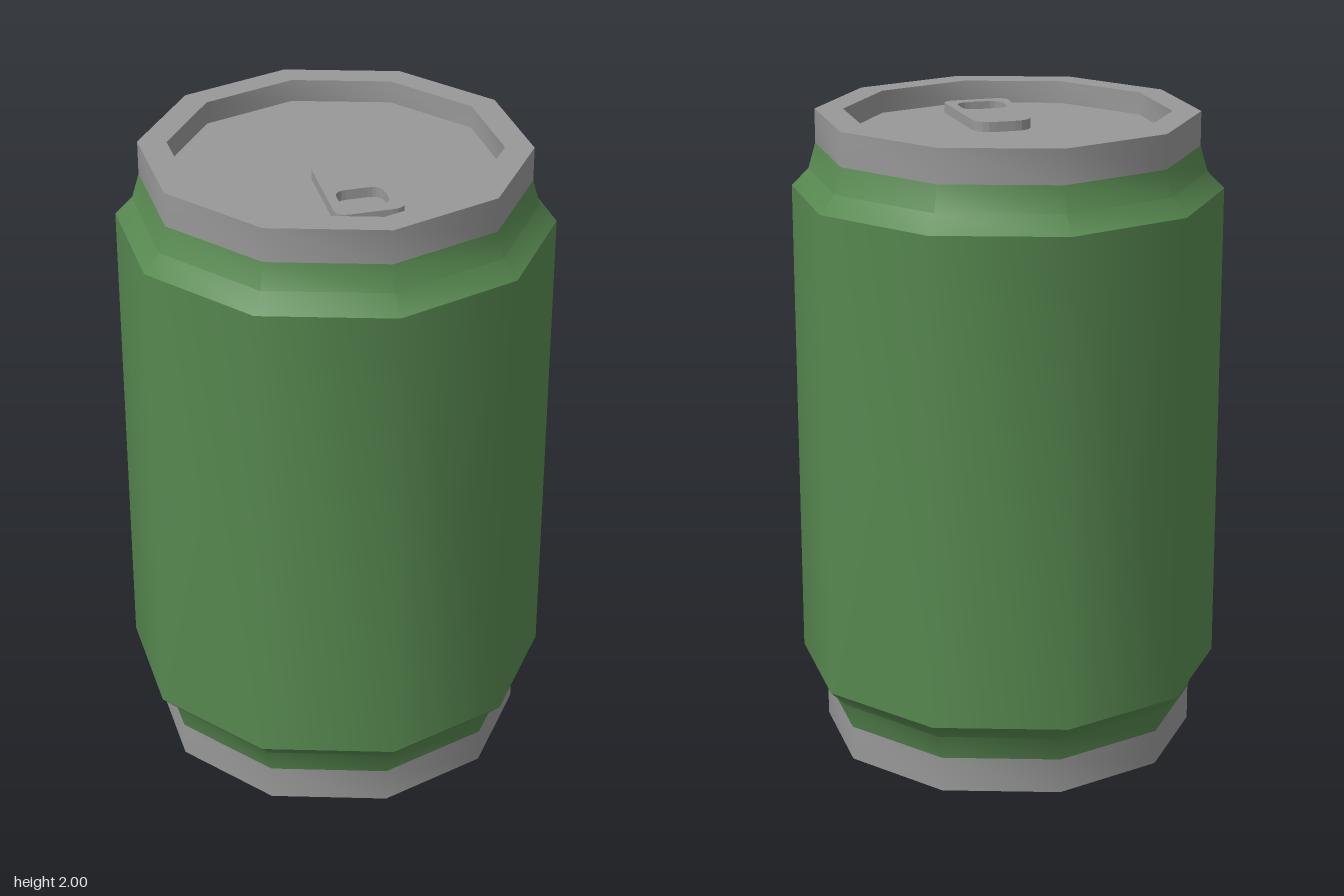
import * as THREE from 'three';
import { toCreasedNormals } from 'three/addons/utils/BufferGeometryUtils.js';

const SIDES = 10;
const CREASE = 0.68; // keeps the ten sides smooth, horizontal folds sharp

const material = (name, color) => {
  const m = new THREE.MeshStandardMaterial({ color });
  m.name = name;
  return m;
};

// Ten-sided turned part from [radius, height] pairs, listed from bottom outwards and up
function turned(name, profile, mat) {
  const points = profile.map(([r, y]) => new THREE.Vector2(r, y));
  const mesh = new THREE.Mesh(toCreasedNormals(new THREE.LatheGeometry(points, SIDES), CREASE), mat);
  mesh.name = name;
  return mesh;
}

// Closed rounded outline with different widths at its two ends
function outline(path, z0, z1, w0, w1, r0, r1) {
  path.moveTo(-w0 + r0, z0);
  path.lineTo(w0 - r0, z0);
  path.quadraticCurveTo(w0, z0, w0, z0 + r0);
  path.lineTo(w1, z1 - r1);
  path.quadraticCurveTo(w1, z1, w1 - r1 * 1.2, z1);
  path.lineTo(-w1 + r1 * 1.2, z1);
  path.quadraticCurveTo(-w1, z1, -w1, z1 - r1);
  path.lineTo(-w0, z0 + r0);
  path.quadraticCurveTo(-w0, z0, -w0 + r0, z0);
  return path;
}

export function createModel() {
  const metal = material('metal', 0x989898);
  const paint = material('green paint', 0x578850);
  const can = new THREE.Group();
  can.name = 'drinkCan';

  // Base ring with a domed hollow underneath
  can.add(turned('baseRing', [
    [0, 0.17], [0.2, 0.155], [0.37, 0.11], [0.46, 0.06], [0.5, 0],
    [0.585, 0], [0.585, 0.11],
  ], metal));

  // Painted body with stepped shoulders
  can.add(turned('body', [
    [0.585, 0.11], [0.608, 0.19], [0.66, 0.243],
    [0.66, 1.763], [0.608, 1.816], [0.585, 1.895],
  ], paint));

  // Top rim and the sunken lid
  can.add(turned('rimAndLid', [
    [0.585, 1.895], [0.585, 2], [0.498, 2], [0.498, 1.93], [0, 1.93],
  ], metal));

  // Pull tab with a finger hole
  const shape = outline(new THREE.Shape(), 0.018, 0.382, 0.092, 0.104, 0.062, 0.035);
  shape.holes.push(outline(new THREE.Path(), 0.226, 0.343, 0.072, 0.072, 0.04, 0.04));
  const tabGeometry = new THREE.ExtrudeGeometry(shape, { depth: 0.032, bevelEnabled: false, curveSegments: 5 });
  tabGeometry.rotateX(Math.PI / 2);
  const tab = new THREE.Mesh(tabGeometry, metal);
  tab.name = 'pullTab';
  tab.position.y = 1.961;
  can.add(tab);

  return can;
}
